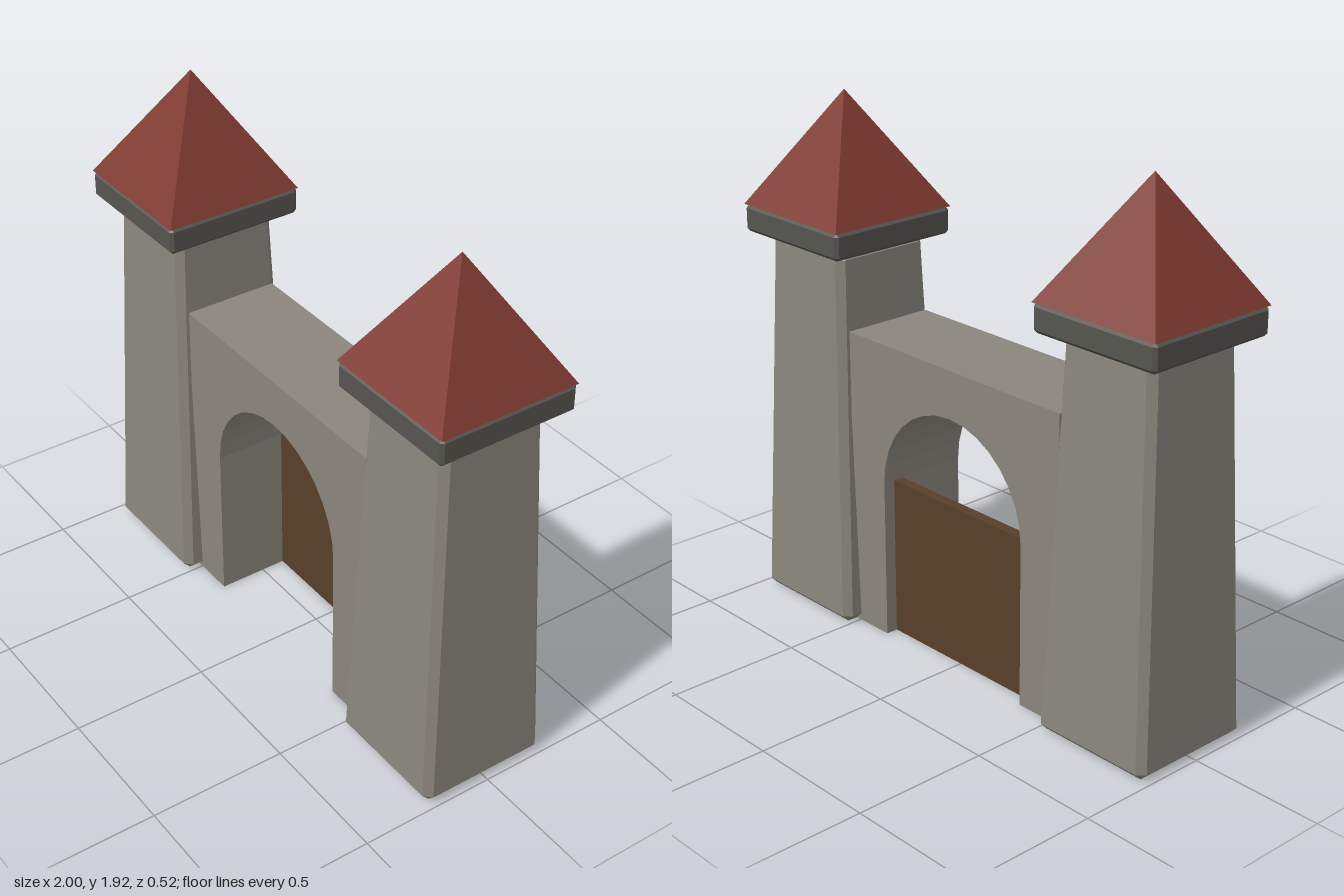
import * as THREE from 'three';
import { ConvexGeometry } from 'three/addons/geometries/ConvexGeometry.js';

const material = (name, color) => {
  const m = new THREE.MeshStandardMaterial({ color });
  m.name = name;
  return m;
};

// Square block with chamfered edges, tapering from half-width `bottom` to `top`
function chamferedBlock(bottom, top, y0, y1, c) {
  const points = [];
  const add = (x, y, z) => {
    for (const sx of [-1, 1]) for (const sz of [-1, 1]) points.push(new THREE.Vector3(sx * x, y, sz * z));
  };
  for (const [half, edge, inner] of [[bottom, y0, y0 + c], [top, y1, y1 - c]]) {
    add(half - c, edge, half - c);
    add(half, inner, half - c);
    add(half - c, inner, half);
  }
  return new ConvexGeometry(points);
}

export function createModel() {
  const model = new THREE.Group();
  model.name = 'castleGate';
  const stone = material('stone', 0x8a867c);
  const darkStone = material('darkStone', 0x565550);
  const roofTile = material('roofTile', 0x7f3a31);
  const wood = material('wood', 0x583f29);

  const addMesh = (parent, name, geometry, mat) => {
    const mesh = new THREE.Mesh(geometry, mat);
    mesh.name = name;
    parent.add(mesh);
    return mesh;
  };

  // Two identical towers: tapered shaft, parapet slab and pyramid roof
  const shaft = chamferedBlock(0.242, 0.195, 0, 1.4, 0.026);
  const parapet = chamferedBlock(0.26, 0.26, 1.4, 1.5, 0.013);
  const roof = new THREE.ConeGeometry(0.26 * Math.SQRT2, 0.42, 4).rotateY(Math.PI / 4).toNonIndexed();
  roof.computeVertexNormals();
  for (const side of [-1, 1]) {
    const tower = new THREE.Group();
    tower.name = side > 0 ? 'leftTower' : 'rightTower';
    tower.position.x = side * 0.74;
    addMesh(tower, 'towerShaft', shaft, stone);
    addMesh(tower, 'towerParapet', parapet, darkStone);
    addMesh(tower, 'towerRoof', roof, roofTile).position.y = 1.71;
    model.add(tower);
  }

  // Wall between the towers with an arched passage open at the ground
  const outline = new THREE.Shape();
  outline.moveTo(-0.525, 0);
  outline.lineTo(-0.35, 0);
  outline.lineTo(-0.35, 0.595);
  outline.absarc(0, 0.595, 0.35, Math.PI, 0, true);
  outline.lineTo(0.35, 0);
  outline.lineTo(0.525, 0);
  outline.lineTo(0.525, 1.12);
  outline.lineTo(-0.525, 1.12);
  outline.closePath();
  const wall = new THREE.ExtrudeGeometry(outline, { depth: 0.35, bevelEnabled: false, curveSegments: 8 });
  addMesh(model, 'archWall', wall.translate(0, 0, -0.175), stone);

  // Wooden gate set towards the rear of the passage
  addMesh(model, 'gate', new THREE.BoxGeometry(0.7, 0.595, 0.04), wood).position.set(0, 0.2975, -0.11);

  return model;
}
